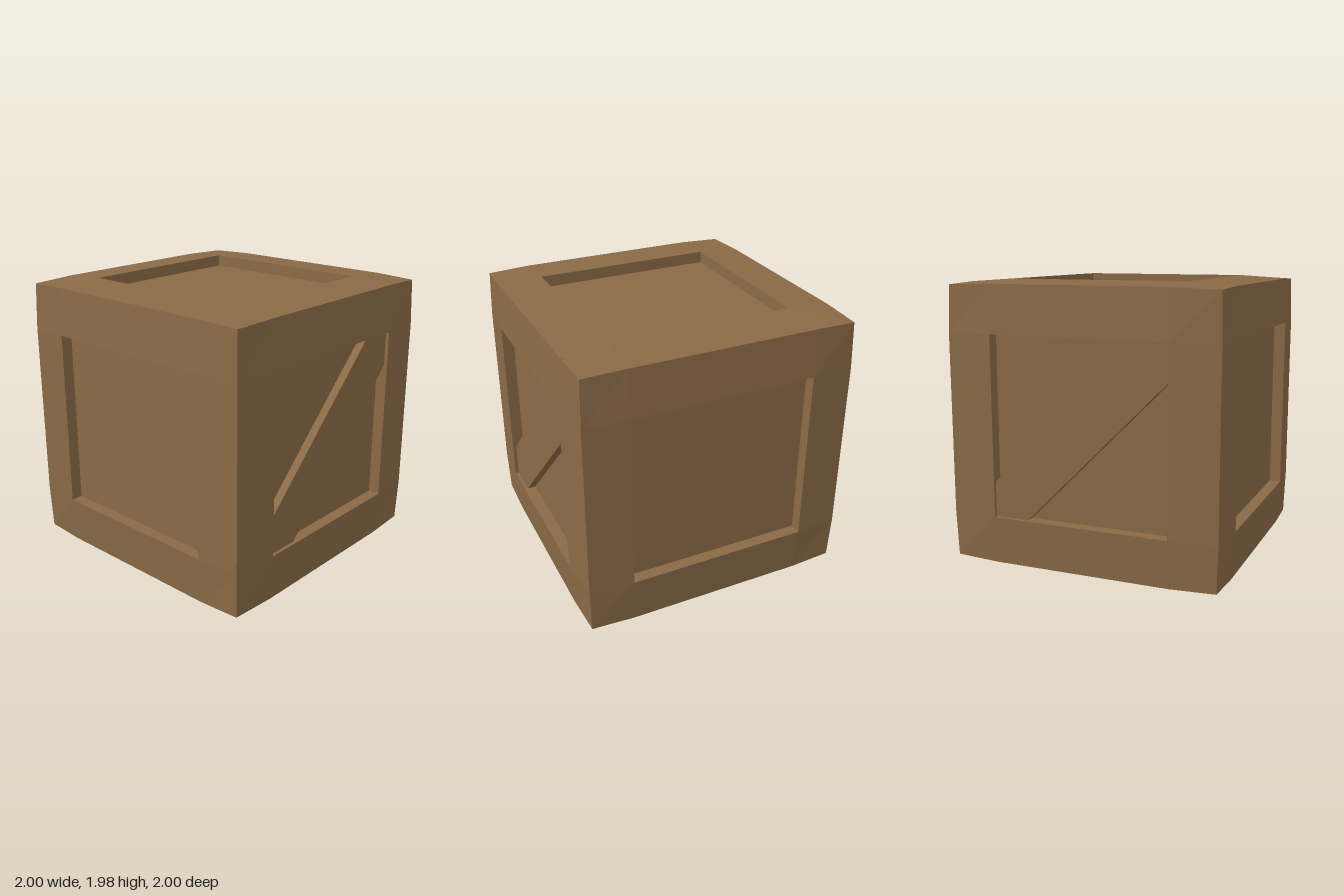
import * as THREE from 'three';

const OPEN = new THREE.Vector3(0.64, 0.64, 0.66); // half size of the panel openings
const EDGE = 0.977, CORNER = 0.967, FACE = 1;     // bulging outline of the crate
const PANEL = 0.915, BRACE = 0.975;               // depths of panel and diagonal board
const CENTRE_Y = 0.977;
const CUT = 0.25;                                 // how far the board reaches round each corner

const wood = new THREE.MeshStandardMaterial({ color: 0x8a6a46, side: THREE.DoubleSide });
wood.name = 'brown wood';

// Flat-shaded mesh from convex polygons, each a loop of points
function polyMesh(name, polygons) {
  const points = [];
  for (const p of polygons) {
    for (let i = 1; i < p.length - 1; i++) points.push(p[0], p[i], p[i + 1]);
  }
  const geometry = new THREE.BufferGeometry().setFromPoints(points);
  geometry.computeVertexNormals();
  const mesh = new THREE.Mesh(geometry, wood);
  mesh.name = name;
  return mesh;
}

// One side of the crate, spanned by u and v and facing n = u x v
function makeSide(name, u, v, hasBrace) {
  const group = new THREE.Group();
  group.name = name;
  const n = u.clone().cross(v);
  const at = (a, b, d) => new THREE.Vector3()
    .addScaledVector(u, a).addScaledVector(v, b).addScaledVector(n, d);
  const U = Math.abs(u.dot(OPEN)), V = Math.abs(v.dot(OPEN));

  // Grid of four by four points: opening, edges and corners
  const grid = (i, j) => {
    const su = i < 2 ? -1 : 1, sv = j < 2 ? -1 : 1;
    const outU = i % 3 === 0, outV = j % 3 === 0;
    if (outU && outV) return at(su * CORNER, sv * CORNER, CORNER);
    if (outU) return at(su * EDGE, sv * V, EDGE);
    if (outV) return at(su * U, sv * EDGE, EDGE);
    return at(su * U, sv * V, FACE);
  };
  const frame = [];
  for (let i = 0; i < 3; i++) {
    for (let j = 0; j < 3; j++) {
      if (i === 1 && j === 1) continue;
      frame.push([grid(i, j), grid(i + 1, j), grid(i + 1, j + 1), grid(i, j + 1)]);
    }
  }
  group.add(polyMesh('frame', frame));

  // Walls of the recess
  const rim = [[-U, -V], [U, -V], [U, V], [-U, V]];
  group.add(polyMesh('recessWalls', rim.map((p, k) => {
    const q = rim[(k + 1) % 4];
    return [at(...p, FACE), at(...q, FACE), at(...q, PANEL), at(...p, PANEL)];
  })));

  if (!hasBrace) {
    group.add(polyMesh('panel', [rim.map(p => at(...p, PANEL))]));
    return group;
  }

  // Panel halves beside the diagonal board
  const upper = [[U - CUT, V], [-U, -V + CUT]];
  const lower = [[-U + CUT, -V], [U, V - CUT]];
  group.add(polyMesh('panel', [
    [[-U, V], upper[1], upper[0]],
    [lower[0], [U, -V], lower[1]],
  ].map(loop => loop.map(p => at(...p, PANEL)))));

  // Diagonal board with its two long sides
  const board = [[-U, -V], lower[0], lower[1], [U, V], upper[0], upper[1]];
  const sides = [lower, upper].map(([p, q]) =>
    [at(...p, PANEL), at(...q, PANEL), at(...q, BRACE), at(...p, BRACE)]);
  group.add(polyMesh('diagonalBoard', [board.map(p => at(...p, BRACE)), ...sides]));
  return group;
}

export function createModel() {
  const model = new THREE.Group();
  model.name = 'crate';
  const X = new THREE.Vector3(1, 0, 0);
  const Y = new THREE.Vector3(0, 1, 0);
  const Z = new THREE.Vector3(0, 0, 1);
  const minus = a => a.clone().negate();
  // Four sides and a top; the underside is open
  model.add(
    makeSide('frontSide', X, Y, true),
    makeSide('backSide', minus(X), Y, true),
    makeSide('leftSide', minus(Z), Y, false),
    makeSide('rightSide', Z, Y, false),
    makeSide('topSide', X, minus(Z), false),
  );
  for (const side of model.children) side.position.y = CENTRE_Y;
  return model;
}
